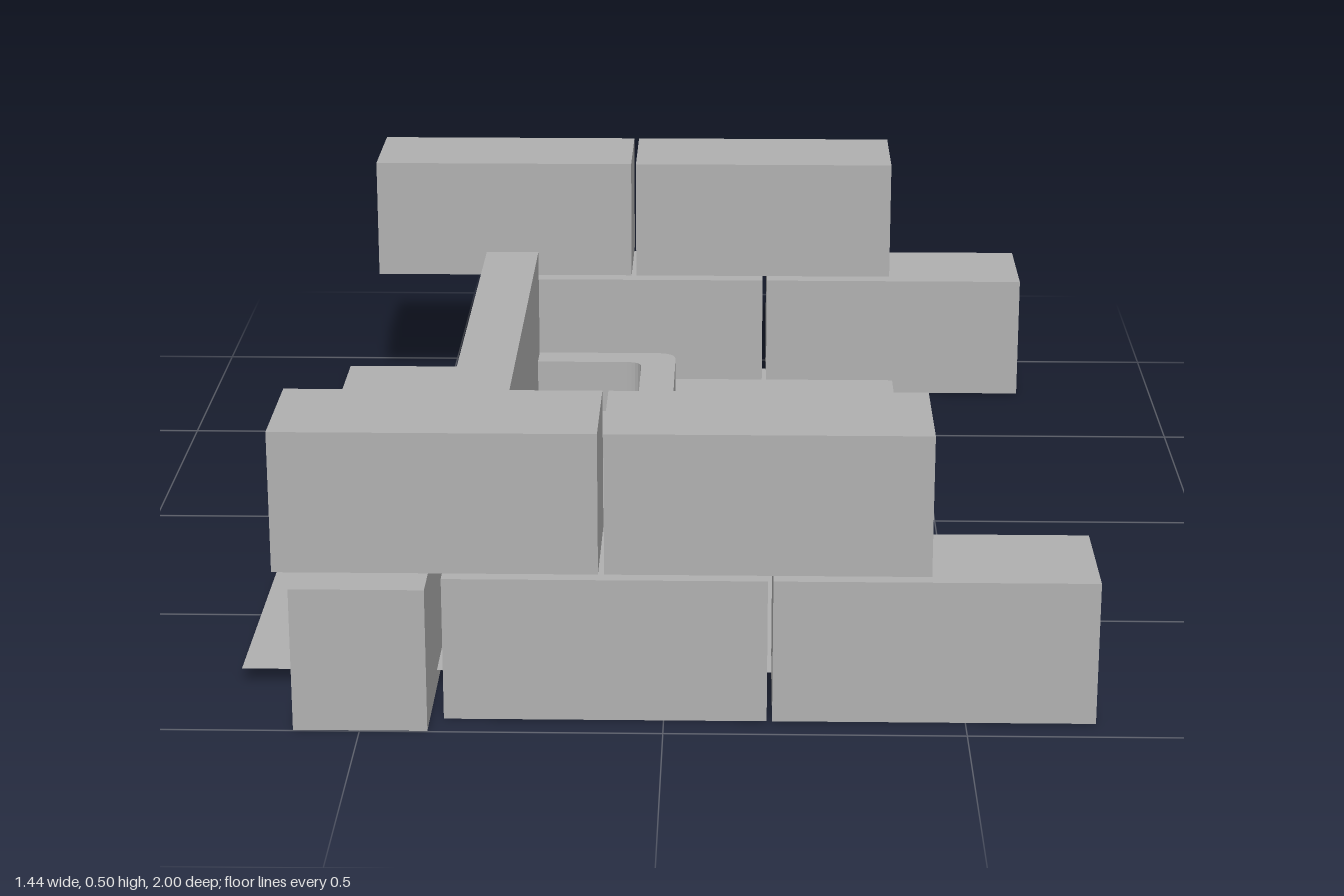
import * as THREE from 'three';

export function createModel() {
  const root = new THREE.Group();
  const stone = new THREE.MeshStandardMaterial({ color: 0xb0b0b0 });
  stone.name = 'grey stone';
  stone.side = THREE.DoubleSide;

  function add(name, geometry) {
    const mesh = new THREE.Mesh(geometry, stone);
    mesh.name = name;
    root.add(mesh);
    return mesh;
  }
  // Box given by its limits on each axis
  function box(name, x0, x1, y0, y1, z0, z1) {
    const g = new THREE.BoxGeometry(x1 - x0, y1 - y0, z1 - z0);
    g.translate((x0 + x1) / 2, (y0 + y1) / 2, (z0 + z1) / 2);
    return add(name, g);
  }
  // Outline in (z, y), extruded along x
  function alongX(name, points, x0, x1) {
    const shape = new THREE.Shape(points.map(([z, y]) => new THREE.Vector2(-z, y)));
    const g = new THREE.ExtrudeGeometry(shape, { depth: x1 - x0, bevelEnabled: false });
    g.rotateY(Math.PI / 2);
    g.translate(x0, 0, 0);
    return add(name, g);
  }

  const floorY = 0.028;

  // Thin floor sheet
  const floor = new THREE.PlaneGeometry(1.17, 1.663);
  floor.rotateX(-Math.PI / 2);
  floor.translate(-0.135, floorY, -0.023);
  add('floor', floor);

  // Two staggered courses of blocks at front and back
  const courses = [
    { y: [0, 0.249], xs: [[-0.365, 0.171], [0.18, 0.716]] },
    { y: [0.259, 0.502], xs: [[-0.643, -0.107], [-0.097, 0.439]] },
  ];
  for (const [side, z0, z1] of [['front', 0.725, 0.947], ['back', -1, -0.778]]) {
    for (const { y, xs } of courses) {
      for (const [x0, x1] of xs) box(side + 'Block', x0, x1, y[0], y[1], z0, z1);
    }
  }

  // Crosswise block, hollowed out by a rounded opening
  alongX('cutBlock', [[0.997, 0], [0.997, 0.249], [0.66, 0.249], [0.668, 0.22],
    [0.676, 0.185], [0.678, 0]], -0.61, -0.388);
  alongX('cutBlockEnd', [[0.463, 0], [0.463, 0.249], [0.481, 0.249], [0.472, 0.22],
    [0.465, 0.185], [0.464, 0]], -0.61, -0.388);

  // Tall rear wall of the pit
  box('pitBackWall', -0.402, -0.295, floorY, 0.353, -0.625, 0.399);

  // Low U-shaped kerb with rounded corners, drawn in (x, -z)
  const kerb = new THREE.Shape();
  kerb.moveTo(-0.295, -0.399);
  kerb.lineTo(-0.05, -0.399);
  kerb.quadraticCurveTo(-0.01, -0.399, -0.01, -0.359);
  kerb.lineTo(-0.01, 0.205);
  kerb.lineTo(-0.015, 0.205);
  kerb.lineTo(-0.015, 0.31);
  kerb.lineTo(-0.01, 0.315);
  kerb.lineTo(-0.01, 0.585);
  kerb.quadraticCurveTo(-0.01, 0.625, -0.05, 0.625);
  kerb.lineTo(-0.295, 0.625);
  kerb.lineTo(-0.295, 0.563);
  kerb.lineTo(-0.11, 0.563);
  kerb.quadraticCurveTo(-0.08, 0.563, -0.08, 0.533);
  kerb.lineTo(-0.08, -0.303);
  kerb.quadraticCurveTo(-0.08, -0.333, -0.11, -0.333);
  kerb.lineTo(-0.295, -0.333);
  kerb.closePath();
  const kerbGeometry = new THREE.ExtrudeGeometry(kerb,
    { depth: 0.135 - floorY, bevelEnabled: false, curveSegments: 6 });
  kerbGeometry.rotateX(-Math.PI / 2);
  kerbGeometry.translate(0, floorY, 0);
  add('pitKerb', kerbGeometry);

  // Standing posts: one inside the kerb, two outside it
  box('innerPost', -0.206, -0.148, floorY, 0.222, 0.01, 0.068);
  for (const z of [-0.388, 0.243]) {
    box('outerPost', 0.02, 0.064, floorY, 0.112, z - 0.022, z + 0.022);
  }

  return root;
}
